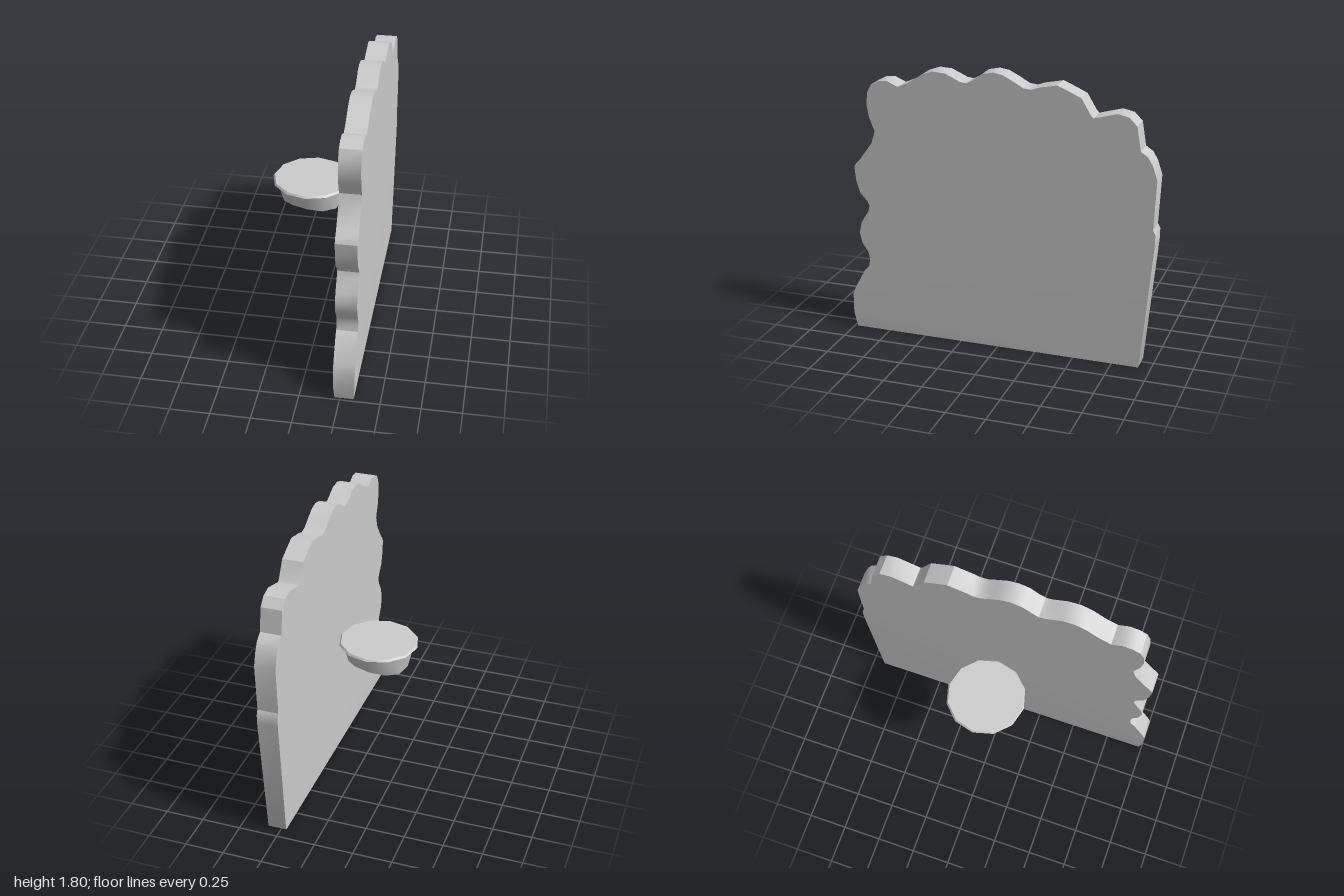
import * as THREE from 'three';
import { toCreasedNormals } from 'three/addons/utils/BufferGeometryUtils.js';

const grey = new THREE.MeshStandardMaterial({ color: 0xcccccc, side: THREE.DoubleSide });

// Scalloped outline as [z, y]: up the front, over the top, down the back
const outline = [
  [0.98, 0], [1, 0.1], [1, 0.23], [0.98, 0.28], [0.91, 0.41], [0.88, 0.44], [0.87, 0.49], [0.88, 0.54],
  [0.92, 0.6], [0.935, 0.67], [0.92, 0.74], [0.87, 0.82], [0.86, 0.86], [0.875, 0.89], [0.92, 0.94],
  [0.945, 1.02], [0.955, 1.11], [0.94, 1.14], [0.91, 1.17], [0.83, 1.28], [0.805, 1.36],
  [0.84, 1.45], [0.855, 1.53], [0.845, 1.61], [0.82, 1.66], [0.77, 1.685], [0.71, 1.69], [0.64, 1.66],
  [0.57, 1.69], [0.48, 1.75], [0.41, 1.775], [0.33, 1.77], [0.23, 1.725], [0.19, 1.72], [0.15, 1.74],
  [0.09, 1.785], [0.02, 1.8], [-0.04, 1.79], [-0.1, 1.76], [-0.17, 1.72], [-0.22, 1.715], [-0.26, 1.73],
  [-0.38, 1.755], [-0.43, 1.735], [-0.53, 1.69], [-0.59, 1.59], [-0.605, 1.575], [-0.75, 1.615],
  [-0.82, 1.6], [-0.87, 1.55], [-0.895, 1.4], [-0.94, 1.37], [-0.97, 1.32], [-1, 1.23],
  [-0.985, 0.92], [-1, 0.89], [-1, 0.83], [-0.925, 0.01], [-0.92, 0],
];

function buildWall() {
  const shape = new THREE.Shape(outline.map(([z, y]) => new THREE.Vector2(-z, y)));
  const geo = new THREE.ExtrudeGeometry(shape, { depth: 0.132, bevelEnabled: false });
  geo.rotateY(Math.PI / 2);
  geo.translate(0.21, 0, 0);
  // Slight narrowing at the foot
  const p = geo.attributes.position;
  for (let i = 0; i < p.count; i++) {
    if (p.getY(i) < 0.02) p.setX(i, 0.276 + (p.getX(i) - 0.276) * 0.9);
  }
  const wall = new THREE.Mesh(toCreasedNormals(geo, 0.5), grey);
  wall.name = 'scallopedWall';
  return wall;
}

function buildIsland() {
  // Tip, ragged ring, neck, rim, flat top
  const profile = [[0, 0.68], [0.195, 0.79], [0.225, 0.905], [0.255, 0.925], [0.245, 0.938], [0, 0.938]];
  const geo = new THREE.LatheGeometry(profile.map(([r, y]) => new THREE.Vector2(r, y)), 12);
  const p = geo.attributes.position;
  for (let i = 0; i < p.count; i++) {
    const row = i % profile.length;
    if (row === 0) p.setX(i, 0.03);
    if (row === 1) {
      // Uneven lower edge
      const a = Math.atan2(p.getZ(i), p.getX(i));
      p.setY(i, 0.795 + 0.022 * Math.cos(2 * a - 3.9));
    }
  }
  const island = new THREE.Mesh(toCreasedNormals(geo, 0.55), grey);
  island.name = 'floatingPlatform';
  island.position.set(-0.092, 0, -0.038);
  return island;
}

export function createModel() {
  const model = new THREE.Group();
  model.add(buildWall(), buildIsland());
  return model;
}
